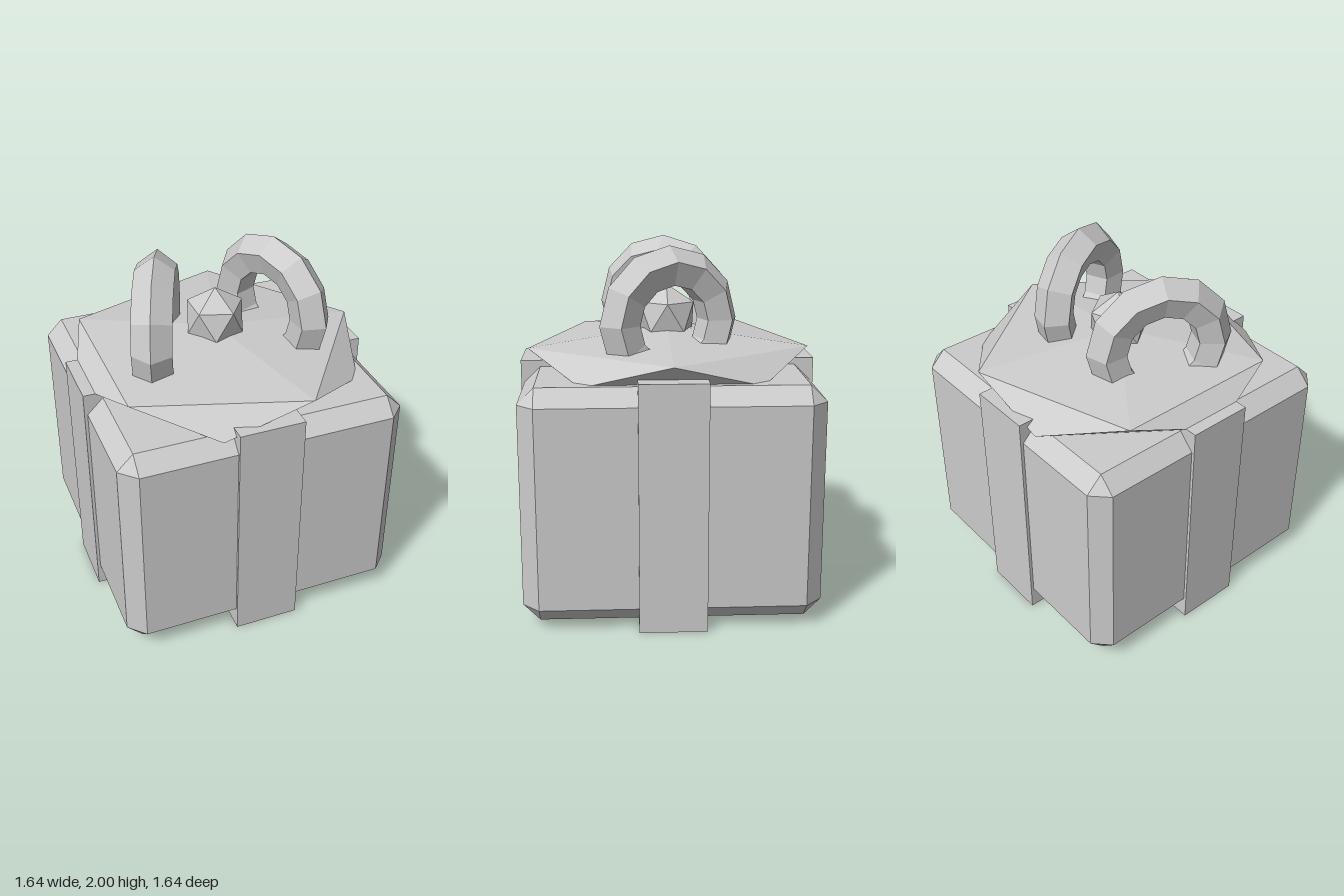
import * as THREE from 'three';
import { ConvexGeometry } from 'three/addons/geometries/ConvexGeometry.js';

const material = new THREE.MeshStandardMaterial({ color: 0xcccccc, flatShading: true });

function part(name, geometry, parent) {
  const mesh = new THREE.Mesh(geometry, material);
  mesh.name = name;
  parent.add(mesh);
  return mesh;
}

// Box with every edge cut at 45 degrees
function chamferedBox(w, h, d, c) {
  const points = [];
  for (const sx of [-1, 1]) for (const sy of [-1, 1]) for (const sz of [-1, 1]) {
    const [x, y, z] = [w / 2, h / 2, d / 2];
    points.push(
      new THREE.Vector3(sx * x, sy * (y - c), sz * (z - c)),
      new THREE.Vector3(sx * (x - c), sy * y, sz * (z - c)),
      new THREE.Vector3(sx * (x - c), sy * (y - c), sz * z)
    );
  }
  return new ConvexGeometry(points);
}

// Icosahedron standing on a pole, with its own radius and half height
function poleIcosahedron(radius, halfHeight) {
  const points = [new THREE.Vector3(0, halfHeight, 0), new THREE.Vector3(0, -halfHeight, 0)];
  const ring = radius * 2 / Math.sqrt(5);
  const level = halfHeight / Math.sqrt(5);
  for (let i = 0; i < 10; i++) {
    const a = i * Math.PI / 5;
    points.push(new THREE.Vector3(ring * Math.cos(a), i % 2 ? -level : level, ring * Math.sin(a)));
  }
  return new ConvexGeometry(points);
}

// Cross-shaped prism for the two wrapped ribbons
function ribbonCross(reach, half, height) {
  const shape = new THREE.Shape();
  const quarter = [[reach, -half], [reach, half], [half, half]];
  const points = [];
  for (let i = 0; i < 4; i++) {
    const a = i * Math.PI / 2;
    for (const [x, y] of quarter) {
      points.push(new THREE.Vector2(x, y).rotateAround(new THREE.Vector2(), a));
    }
  }
  shape.setFromPoints(points);
  return new THREE.ExtrudeGeometry(shape, { depth: height, bevelEnabled: false }).rotateX(-Math.PI / 2);
}

export function createModel() {
  const model = new THREE.Group();
  model.name = 'giftBox';

  // Box and ribbons
  part('box', chamferedBox(1.605, 1.28, 1.605, 0.09), model).position.y = 0.68;
  part('ribbons', ribbonCross(0.82, 0.182, 1.355), model);

  // Bow: flat base, round knot and two splayed loops
  const bow = new THREE.Group();
  bow.name = 'bow';
  model.add(bow);
  part('bowBase', poleIcosahedron(0.908, 0.15), bow).position.y = 1.37;
  part('bowKnot', poleIcosahedron(0.178, 0.178), bow).position.y = 1.577;
  for (const [name, side] of [['leftLoop', 1], ['rightLoop', -1]]) {
    const loop = part(name, new THREE.TorusGeometry(0.294, 0.114, 5, 12), bow);
    loop.position.set(side * 0.34, 1.592, 0);
    loop.rotation.y = -Math.PI / 2 + side * THREE.MathUtils.degToRad(23);
  }

  return model;
}
